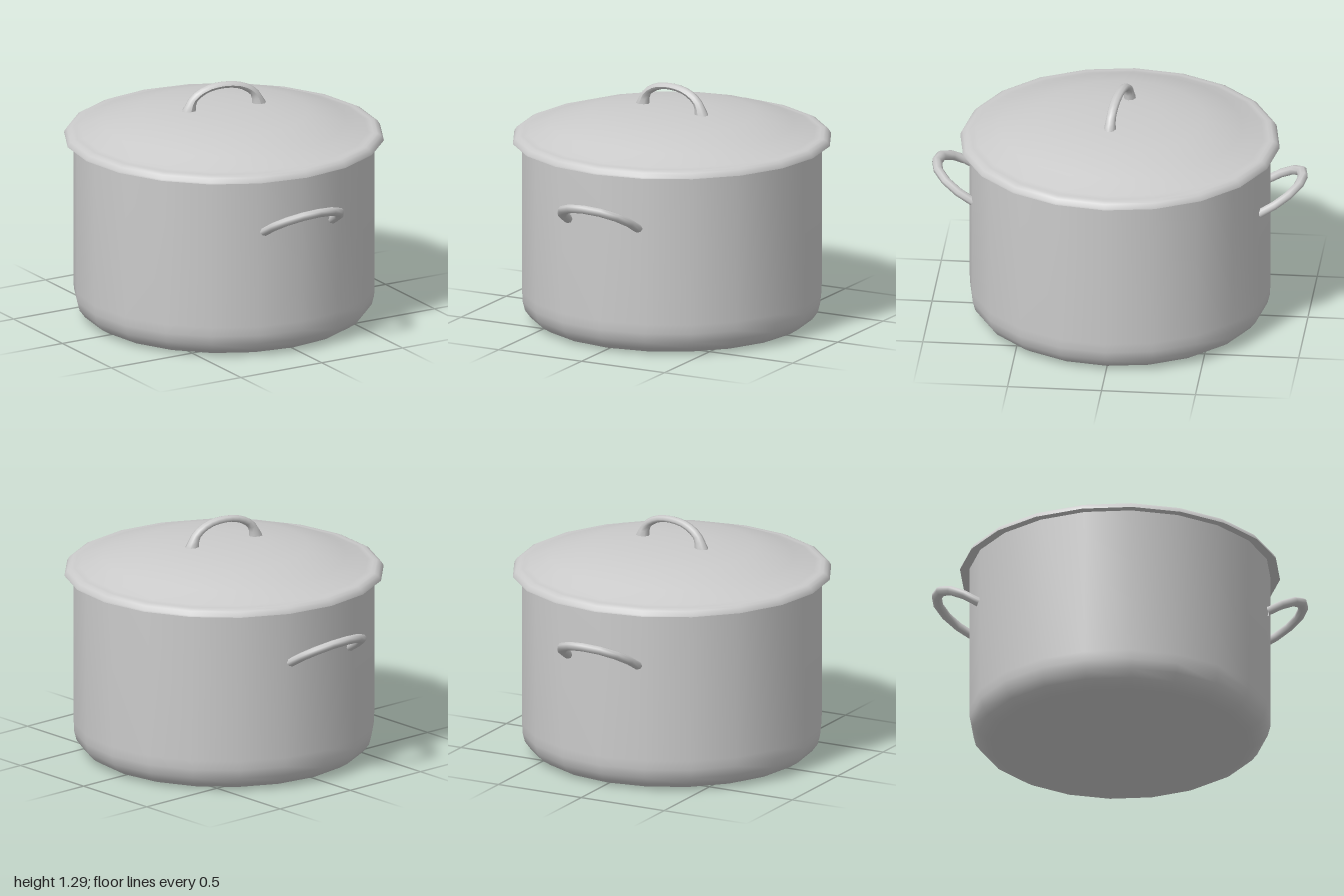
import * as THREE from 'three';
import { toCreasedNormals } from 'three/addons/utils/BufferGeometryUtils.js';

const SIDES = 20;
const material = new THREE.MeshStandardMaterial({ color: 0xcccccc, side: THREE.DoubleSide });

function part(name, geometry) {
  const mesh = new THREE.Mesh(geometry, material);
  mesh.name = name;
  return mesh;
}

// Revolved profile, smooth around and sharp at hard edges
function turned(name, profile) {
  const points = profile.map(([r, y]) => new THREE.Vector2(r, y));
  return part(name, toCreasedNormals(new THREE.LatheGeometry(points, SIDES), 0.75));
}

// Symmetric bow in the xy plane; "half" runs from the foot to the crown at x = 0
function bow(half, radius, segments) {
  const other = half.slice(0, -1).reverse().map(([x, y]) => [-x, y]);
  const points = [...half, ...other].map(([x, y]) => new THREE.Vector3(x, y, 0));
  return new THREE.TubeGeometry(new THREE.CatmullRomCurve3(points), segments, radius, 8);
}

export function createModel() {
  const group = new THREE.Group();

  // Hollow pot with rounded bottom edge
  group.add(turned('potBody', [
    [0, 0.005], [0.67, 0.005], [0.71, 0.012], [0.755, 0.04], [0.785, 0.08], [0.798, 0.13],
    [0.8, 0.18], [0.8, 1.0], [0.77, 1.0], [0.77, 0.15], [0.74, 0.07], [0.67, 0.035], [0, 0.035],
  ]));

  // Domed lid with rolled rim
  group.add(turned('lid', [
    [0, 1.135], [0.44, 1.11], [0.76, 1.0], [0.84, 0.99], [0.85, 0.992], [0.848, 1.0], [0.835, 1.02],
    [0.815, 1.03], [0.795, 1.03], [0.765, 1.035], [0.65, 1.082], [0.45, 1.134], [0.22, 1.157], [0, 1.161],
  ]));

  // Lid handle: flattened bow with flared feet, slightly turned
  const flat = 0.7;
  const lidBow = bow([[-0.2, 1.13], [-0.193, 1.18], [-0.165, 1.225], [-0.095, 1.265], [0, 1.278]]
    .map(([x, y]) => [x, y / flat]), 0.026, 16).scale(1, flat, 1);
  const pos = lidBow.attributes.position;
  for (let i = 0; i < pos.count; i++) {
    const flare = 1 + 0.6 * THREE.MathUtils.clamp((1.2 - pos.getY(i)) / 0.05, 0, 1);
    const foot = 0.196 * Math.sign(pos.getX(i));
    pos.setX(i, foot + (pos.getX(i) - foot) * flare);
    pos.setZ(i, pos.getZ(i) * (1 + (flare - 1) * 0.5));
  }
  lidBow.computeVertexNormals();
  const lidHandle = part('lidHandle', lidBow);
  lidHandle.rotation.y = -0.17;
  group.add(lidHandle);

  // Side handles, tilted upward from the front and back walls
  const tilt = Math.PI / 2 - 0.54;
  for (const [name, turn] of [['frontHandle', 0], ['backHandle', Math.PI]]) {
    const geometry = bow([[-0.21, 0], [-0.206, 0.07], [-0.175, 0.152], [-0.1, 0.222], [0, 0.245]], 0.029, 8);
    geometry.scale(1, 1, 0.8).rotateX(tilt).translate(0, 0.703, 0.763).rotateY(turn);
    group.add(part(name, geometry));
  }

  return group;
}
